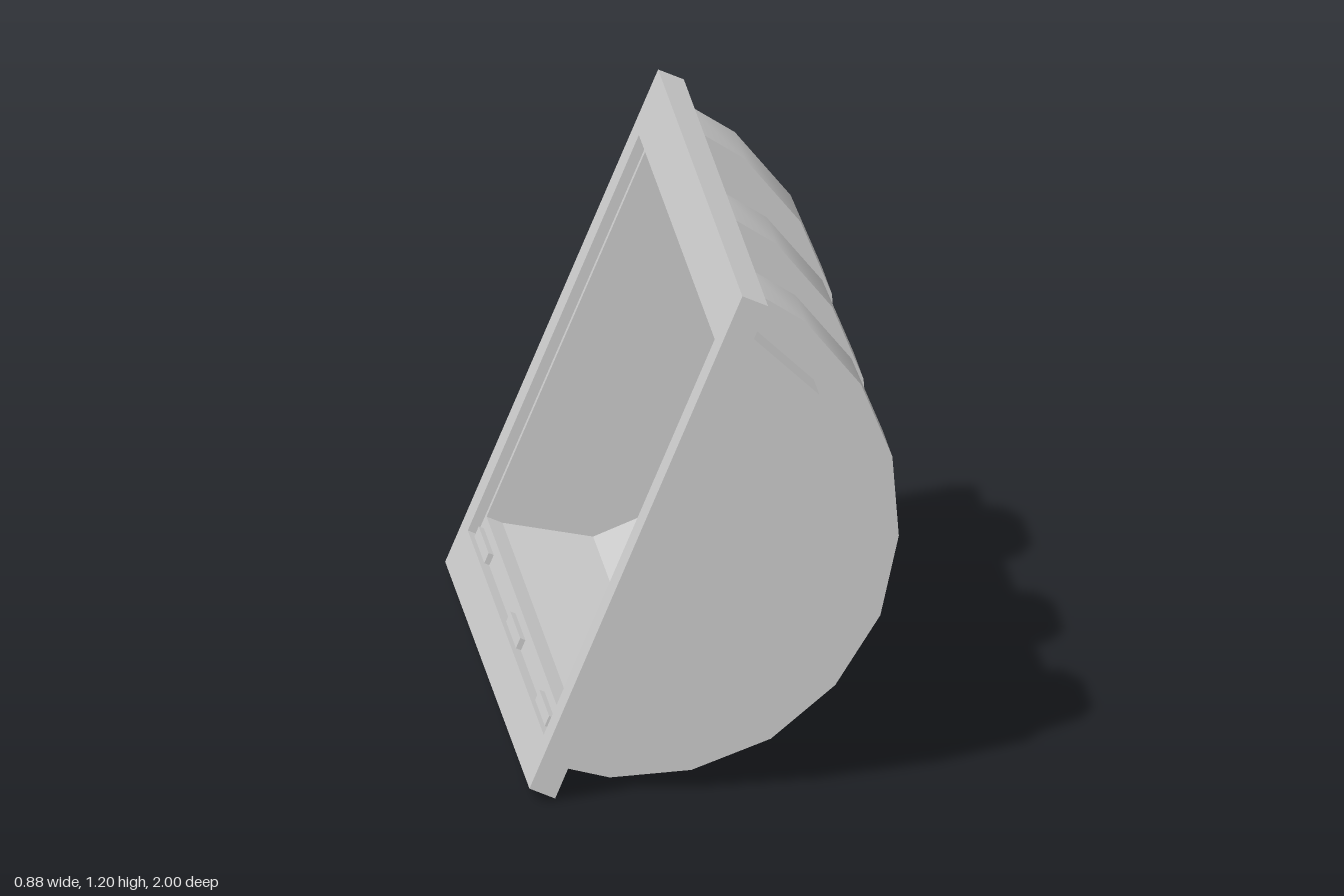
import * as THREE from 'three';
import { toCreasedNormals } from 'three/addons/utils/BufferGeometryUtils.js';

const TILT = -0.401;                       // lean of the open lid
const CENTRE = [-0.13, 0.6];               // middle of the barrel's flat side
const NORMAL = [Math.cos(TILT), Math.sin(TILT)]; // out of the rim, towards the barrel

// Barrel cross-section, from the upper rim round to the lower rim
const BARREL = [[0.08, 1.09], [0.24, 0.945], [0.335, 0.67], [0.30, 0.385],
  [0.14, 0.165], [-0.105, 0.065], [-0.338, 0.108]];
// Outer edge of the reinforcing bands
const BAND = [[0.108, 1.155], [0.22, 1.085], [0.35, 0.93], [0.423, 0.755], [0.438, 0.565],
  [0.395, 0.375], [0.29, 0.21], [0.14, 0.085], [-0.045, 0.015], [-0.235, 0.002], [-0.37, 0.035]];
const BAND_Z = [[0.585, 0.815], [-0.105, 0.13], [-0.855, -0.62]];

const scaled = (pts, s) => pts.map(([x, y]) =>
  [CENTRE[0] + (x - CENTRE[0]) * s, CENTRE[1] + (y - CENTRE[1]) * s]);

// Carry both ends of a profile back into the rim
function intoRim(pts, d) {
  const back = ([x, y]) => [x - NORMAL[0] * d, y - NORMAL[1] * d];
  return [back(pts[0]), ...pts, back(pts[pts.length - 1])];
}

// Extrude an outline along z between two planes
function slab(pts, z0, z1) {
  const shape = new THREE.Shape(pts.map(([x, y]) => new THREE.Vector2(x, y)));
  const geo = new THREE.ExtrudeGeometry(shape, { depth: z1 - z0, bevelEnabled: false });
  return geo.translate(0, 0, z0);
}

function rect(path, x0, y0, x1, y1) {
  path.moveTo(x0, y0);
  path.lineTo(x1, y0);
  path.lineTo(x1, y1);
  path.lineTo(x0, y1);
  path.closePath();
  return path;
}

export function createModel() {
  const model = new THREE.Group();
  model.name = 'chestLid';
  const grey = new THREE.MeshStandardMaterial({ color: 0xcccccc });
  grey.name = 'lightGrey';
  const add = (name, geo, parent = model) => {
    const mesh = new THREE.Mesh(geo, grey);
    mesh.name = name;
    parent.add(mesh);
    return mesh;
  };

  // Tilted rim: local x is depth, local y runs up the lid
  const rim = new THREE.Group();
  rim.name = 'rim';
  rim.position.set(-0.44, 0.031, 0);
  rim.rotation.z = TILT;
  model.add(rim);
  const frame = rect(new THREE.Shape(), -1, 0, 1, 1.27);
  frame.holes.push(rect(new THREE.Path(), -0.9, 0.11, 0.9, 1.13));
  const frameGeo = new THREE.ExtrudeGeometry(frame, { depth: 0.065, bevelEnabled: false });
  add('rimFrame', frameGeo.rotateY(Math.PI / 2), rim);

  // Hollow barrel: curved wall plus two thick end walls
  const outer = intoRim(BARREL, 0.04);
  const inner = intoRim(scaled(BARREL, 0.906), 0.04);
  add('barrelWall', slab([...outer, ...inner.reverse()], -0.88, 0.855));
  add('frontEndWall', slab(outer, 0.855, 0.95));
  add('backEndWall', slab(outer, -0.965, -0.88));

  // Bands round the barrel, with their ends showing inside the rim
  const bandInner = scaled(BARREL, 0.96).reverse();
  for (const [z0, z1] of BAND_Z) {
    add('band', toCreasedNormals(slab([...BAND, ...bandInner], z0, z1), 0.6));
    const end = add('bandEnd', new THREE.BoxGeometry(0.022, 0.026, z1 - z0), rim);
    end.position.set(0.022, 0.125, (z0 + z1) / 2);
  }
  return model;
}
